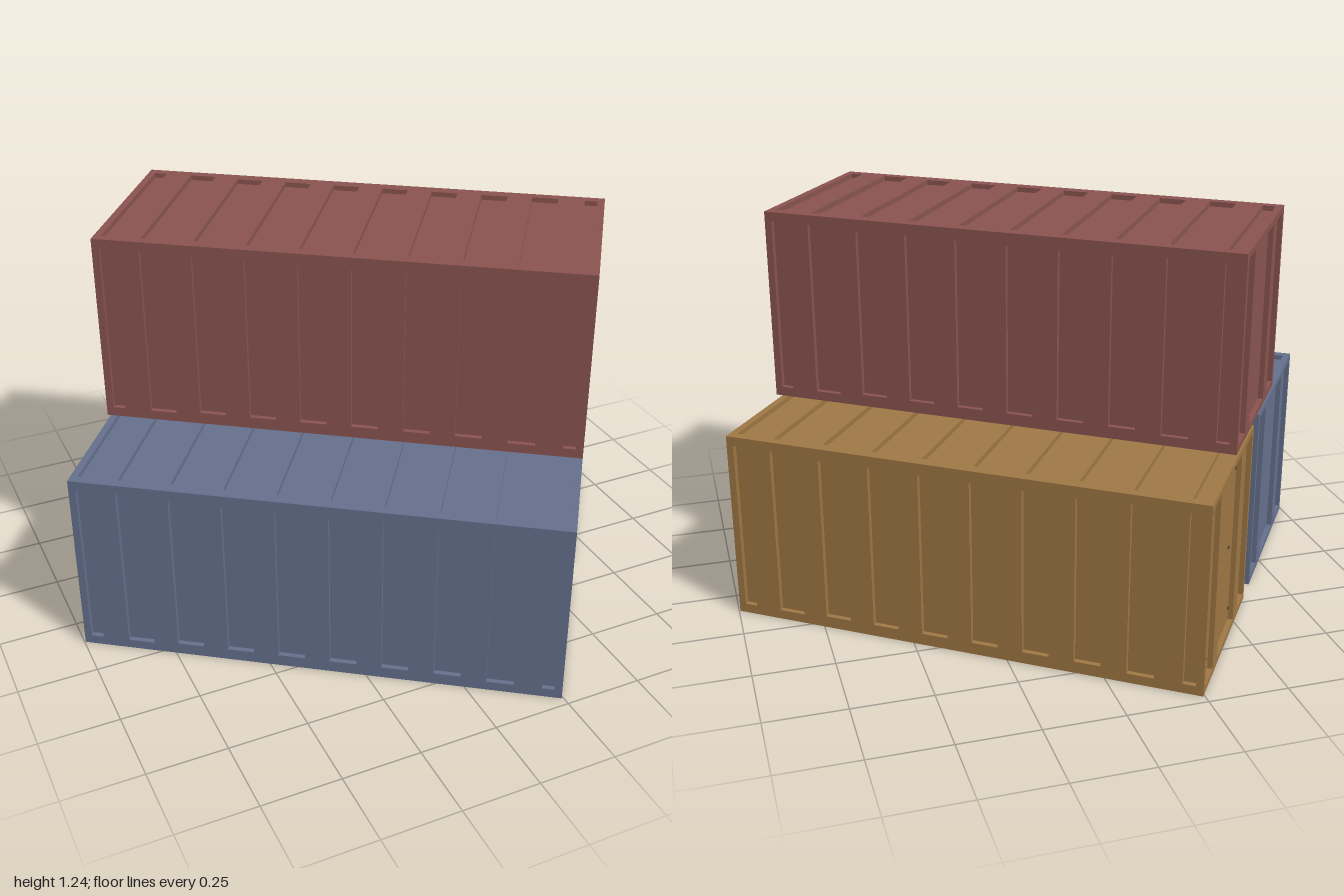
import * as THREE from 'three';

const L = 1.515, H = 0.61, W = 0.61; // container size
const D = 0.016;                     // depth of the pressed recesses

const mats = {
  blue: new THREE.MeshStandardMaterial({ name: 'blue paint', color: 0x66718e }),
  red: new THREE.MeshStandardMaterial({ name: 'red paint', color: 0x8a5450 }),
  yellow: new THREE.MeshStandardMaterial({ name: 'yellow paint', color: 0xa07845 }),
  steel: new THREE.MeshStandardMaterial({ name: 'dark steel', color: 0x4a4648 }),
};

// Flat sheet, centred, with rectangular openings [x0, x1, half height]
function sheet(w, h, openings) {
  const s = new THREE.Shape();
  s.moveTo(-w / 2, -h / 2).lineTo(w / 2, -h / 2).lineTo(w / 2, h / 2).lineTo(-w / 2, h / 2).closePath();
  for (const [x0, x1, y] of openings) {
    const p = new THREE.Path();
    p.moveTo(x0, -y).lineTo(x0, y).lineTo(x1, y).lineTo(x1, -y).closePath();
    s.holes.push(p);
  }
  return new THREE.ExtrudeGeometry(s, { depth: D, bevelEnabled: false });
}

// Eight wide recesses and a narrow one at each end of a long sheet
function corrugation(height) {
  const list = [];
  const y = height / 2 - 0.03;
  for (let k = 0; k < 8; k++) {
    const c = (k - 3.5) * 0.1623;
    list.push([c - 0.042, c + 0.042, k === 0 || k === 7 ? y : y - 0.008]);
  }
  list.push([-0.735, -0.695, y], [0.695, 0.735, y]);
  return list;
}

const roofGeo = sheet(L, W, corrugation(W));
const sideGeo = sheet(L, H - 2 * D, corrugation(H));
const endY = H / 2 - 0.018;
const endGeo = sheet(W - 2 * D, H - 2 * D, [
  [-0.287, -0.183, endY - 0.002], [-0.119, 0.119, endY - 0.002], [0.183, 0.287, endY - 0.002],
]);
const coreGeo = new THREE.BoxGeometry(L - 2 * D, H - 2 * D, W - 2 * D);

function container(name, mat) {
  const g = new THREE.Group();
  g.name = name;
  const add = (part, geo, pos = [0, 0, 0], rot = [0, 0, 0]) => {
    const m = new THREE.Mesh(geo, mat);
    m.name = part;
    m.position.set(...pos);
    m.rotation.set(...rot);
    g.add(m);
  };
  const q = Math.PI / 2;
  add('innerWalls', coreGeo);
  add('roofPanel', roofGeo, [0, H / 2 - D, 0], [-q, 0, 0]);
  add('floorPanel', roofGeo, [0, -H / 2 + D, 0], [q, 0, 0]);
  add('frontSidePanel', sideGeo, [0, 0, W / 2 - D]);
  add('backSidePanel', sideGeo, [0, 0, -W / 2 + D], [0, Math.PI, 0]);
  add('leftEndPanel', endGeo, [L / 2 - D, 0, 0], [0, q, 0]);
  add('rightEndPanel', endGeo, [-L / 2 + D, 0, 0], [0, -q, 0]);
  return g;
}

// Small bolts on both ends of a container
function addBolts(g) {
  const geo = new THREE.BoxGeometry(0.008, 0.008, 0.008);
  for (const end of [-1, 1]) for (const side of [-1, 1])
    for (const [z, y] of [[0.055, 0], [0.22, 0.245], [0.1, 0.245], [0.22, -0.235], [0.1, -0.235]]) {
      const b = new THREE.Mesh(geo, mats.steel);
      b.name = 'endBolt';
      b.position.set(end * (L / 2 - D), y, side * z);
      g.add(b);
    }
}

export function createModel() {
  const model = new THREE.Group();
  model.name = 'containerStack';
  const stack = new THREE.Group();
  stack.name = 'turnedStack';
  stack.rotation.y = -THREE.MathUtils.degToRad(35);
  model.add(stack);

  const blue = container('blueContainer', mats.blue);
  blue.position.set(0, H / 2, 0.351);
  const yellow = container('yellowContainer', mats.yellow);
  yellow.position.set(0, H / 2, -0.351);
  addBolts(yellow);
  const red = container('redContainer', mats.red);
  red.position.set(0, 0.627 + H / 2, -0.025);
  stack.add(blue, yellow, red);
  return model;
}
